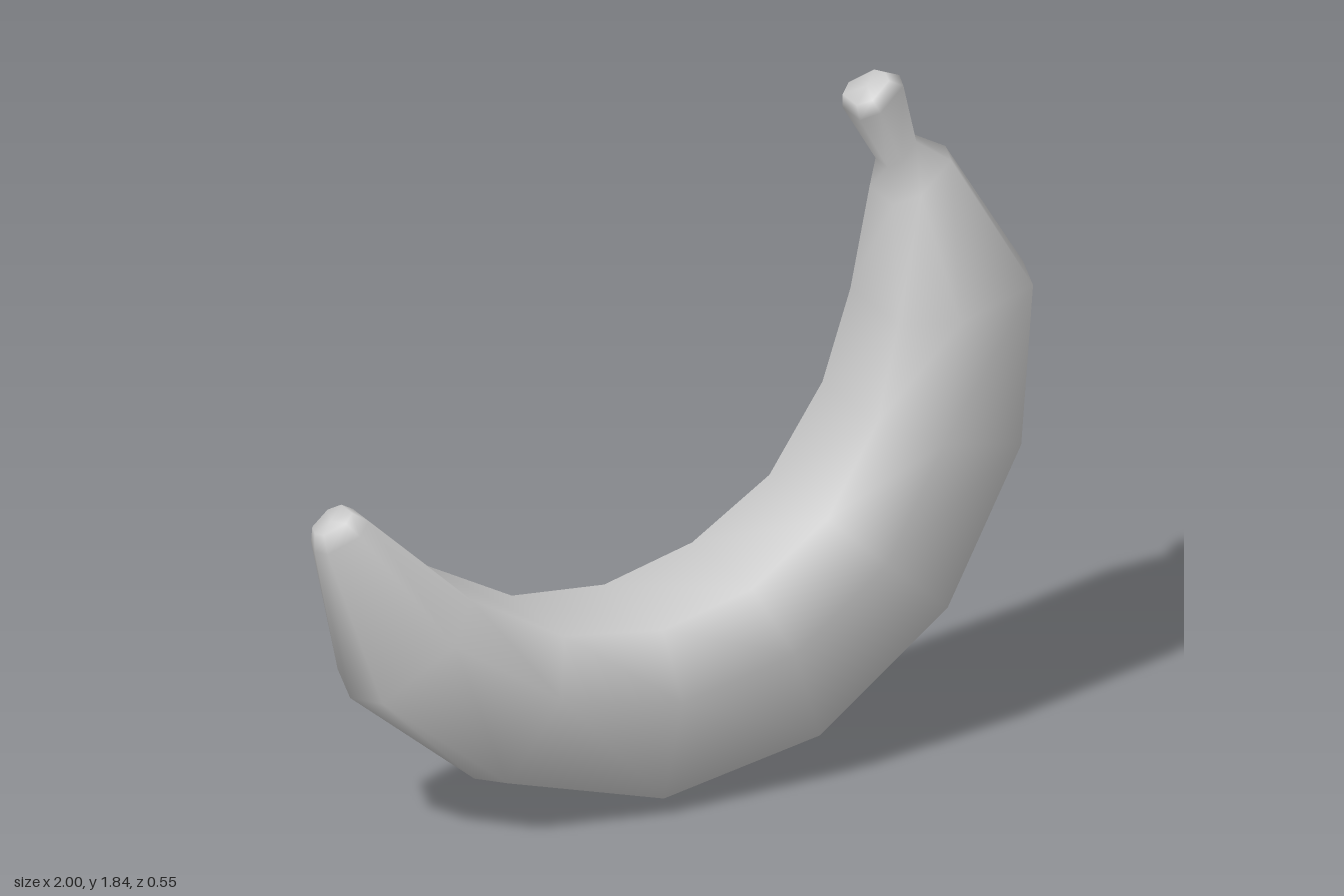
import * as THREE from 'three';

// Cross-sections from blossom tip to stem: outer x, y, inner x, y, half width in z
const SECTIONS = [
  [-1.0, 0.89, -0.91, 0.94, 0.05],
  [-1.0, 0.84, -0.87, 0.915, 0.075],
  [-0.9, 0.42, -0.62, 0.68, 0.2],
  [-0.55, 0.13, -0.37, 0.54, 0.24],
  [-0.1, 0.0, -0.1, 0.51, 0.27],
  [0.36, 0.09, 0.15, 0.575, 0.275],
  [0.74, 0.38, 0.365, 0.72, 0.265],
  [0.96, 0.8, 0.51, 0.95, 0.25],
  [1.0, 1.24, 0.58, 1.2, 0.22],
  [0.78, 1.6, 0.6, 1.5, 0.11],
  [0.69, 1.65, 0.6, 1.59, 0.055],
  [0.65, 1.82, 0.515, 1.74, 0.08],
  [0.61, 1.835, 0.51, 1.78, 0.065],
];
// Seven-sided section with a flat inner side: share of the way from outer to
// inner edge, and share of the half width
const PROFILE = [
  [0, 0], [0.1, 0.62], [0.69, 1], [1, 0.6],
  [1, -0.6], [0.69, -1], [0.1, -0.62],
];

function peelGeometry() {
  const n = PROFILE.length;
  const positions = [];
  const index = [];

  for (const [ox, oy, ix, iy, w] of SECTIONS) {
    for (const [t, s] of PROFILE) {
      positions.push(ox + (ix - ox) * t, oy + (iy - oy) * t, w * s);
    }
  }

  // Skin between neighbouring sections
  for (let i = 0; i < SECTIONS.length - 1; i++) {
    for (let j = 0; j < n; j++) {
      const k = (j + 1) % n;
      const a = i * n + j, b = i * n + k;
      index.push(a, a + n, b, b, a + n, b + n);
    }
  }

  // Caps on the blossom tip and the cut stem
  for (const end of [0, SECTIONS.length - 1]) {
    const [ox, oy, ix, iy] = SECTIONS[end];
    const centre = positions.length / 3;
    positions.push((ox + ix) / 2, (oy + iy) / 2, 0);
    for (let j = 0; j < n; j++) {
      const a = end * n + j, b = end * n + (j + 1) % n;
      if (end === 0) index.push(centre, a, b);
      else index.push(centre, b, a);
    }
  }

  const geometry = new THREE.BufferGeometry();
  geometry.setAttribute('position', new THREE.Float32BufferAttribute(positions, 3));
  geometry.setIndex(index);
  geometry.computeVertexNormals();
  return geometry;
}

export function createModel() {
  const group = new THREE.Group();
  group.name = 'banana';
  const peel = new THREE.Mesh(peelGeometry(), new THREE.MeshStandardMaterial({ color: 0xcccccc }));
  peel.name = 'peelWithStem';
  group.add(peel);
  return group;
}
